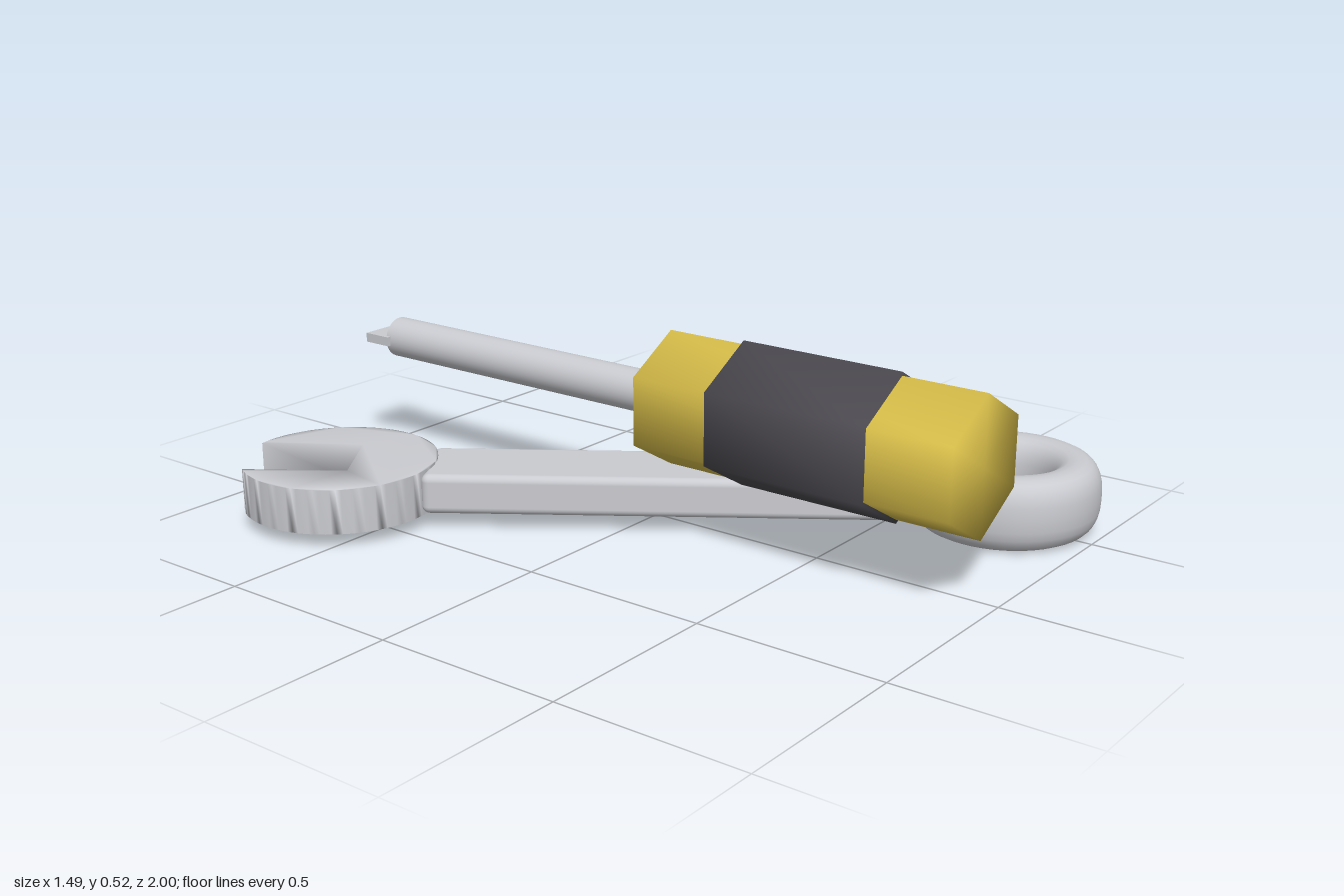
import * as THREE from 'three';
import { mergeVertices } from 'three/addons/utils/BufferGeometryUtils.js';
import { RoundedBoxGeometry } from 'three/addons/geometries/RoundedBoxGeometry.js';

const material = (name, color) => new THREE.MeshStandardMaterial({ name, color });

// Weld shared corners so shading runs smoothly over the edges
function weld(geometry) {
  geometry.deleteAttribute('normal');
  geometry.deleteAttribute('uv');
  const welded = mergeVertices(geometry, 1e-4);
  welded.computeVertexNormals();
  return welded;
}

function add(parent, name, geometry, mat, x = 0, y = 0, z = 0) {
  const mesh = new THREE.Mesh(geometry, mat);
  mesh.name = name;
  mesh.position.set(x, y, z);
  parent.add(mesh);
  return mesh;
}

export function createModel() {
  const steel = material('steel', 0xcacbd0);
  const yellow = material('yellow', 0xd8be4a);
  const dark = material('darkGrip', 0x4c4a50);
  const model = new THREE.Group();
  model.name = 'tools';

  // Wrench: jaw at the group origin, handle running along local +z
  const wrench = new THREE.Group();
  wrench.name = 'wrench';
  wrench.position.set(-0.495, 0.097, -0.665);
  wrench.rotation.y = 0.612;
  model.add(wrench);

  // Open jaw: disc with a square slot
  const R = 0.255, slot = 0.105, tipY = Math.sqrt(R * R - slot * slot);
  const a = Math.atan2(tipY, slot);
  const jaw = new THREE.Shape();
  jaw.moveTo(-slot, -0.04);
  jaw.lineTo(slot, -0.04);
  jaw.lineTo(slot, tipY);
  jaw.absarc(0, 0, R, a, Math.PI - a, true);
  jaw.closePath();
  const jawGeo = new THREE.ExtrudeGeometry(jaw, { depth: 0.118, bevelEnabled: false, curveSegments: 48 });
  jawGeo.translate(0, 0, -0.059).rotateX(-Math.PI / 2);
  add(wrench, 'openJaw', weld(jawGeo), steel);

  // Flat handle
  add(wrench, 'wrenchHandle', new RoundedBoxGeometry(0.24, 0.106, 1.315, 3, 0.02), steel, 0, 0, 0.887);

  // Ring end: soft rounded section turned about the vertical axis
  const profile = [];
  for (let i = 0; i <= 24; i++) {
    const t = (i / 24) * Math.PI * 2, c = Math.cos(t), s = Math.sin(t);
    profile.push(new THREE.Vector2(
      0.18 + 0.065 * Math.sign(c) * Math.abs(c) ** 0.8,
      0.095 * Math.sign(s) * Math.abs(s) ** 0.8));
  }
  add(wrench, 'ringEnd', weld(new THREE.LatheGeometry(profile, 48)), steel, 0, 0, 1.73);

  // Screwdriver along z
  const driver = new THREE.Group();
  driver.name = 'screwdriver';
  driver.position.y = 0.333;
  model.add(driver);
  const rod = (radius, z0, z1, sides) =>
    new THREE.CylinderGeometry(radius, radius, z1 - z0, sides).rotateX(Math.PI / 2).translate(0, 0, (z0 + z1) / 2);

  // Hexagonal handle and grip, a corner pointing up
  add(driver, 'driverHandle', weld(rod(0.179, 0.045, 0.945, 6)), yellow);
  add(driver, 'driverGrip', weld(rod(0.189, 0.27, 0.72, 6)), dark);

  // Shaft and flat blade
  add(driver, 'shaft', rod(0.056, -0.93, 0.06, 32), steel);
  add(driver, 'blade', new THREE.BoxGeometry(0.132, 0.026, 0.085), steel, 0, 0, -0.9575);

  return model;
}
